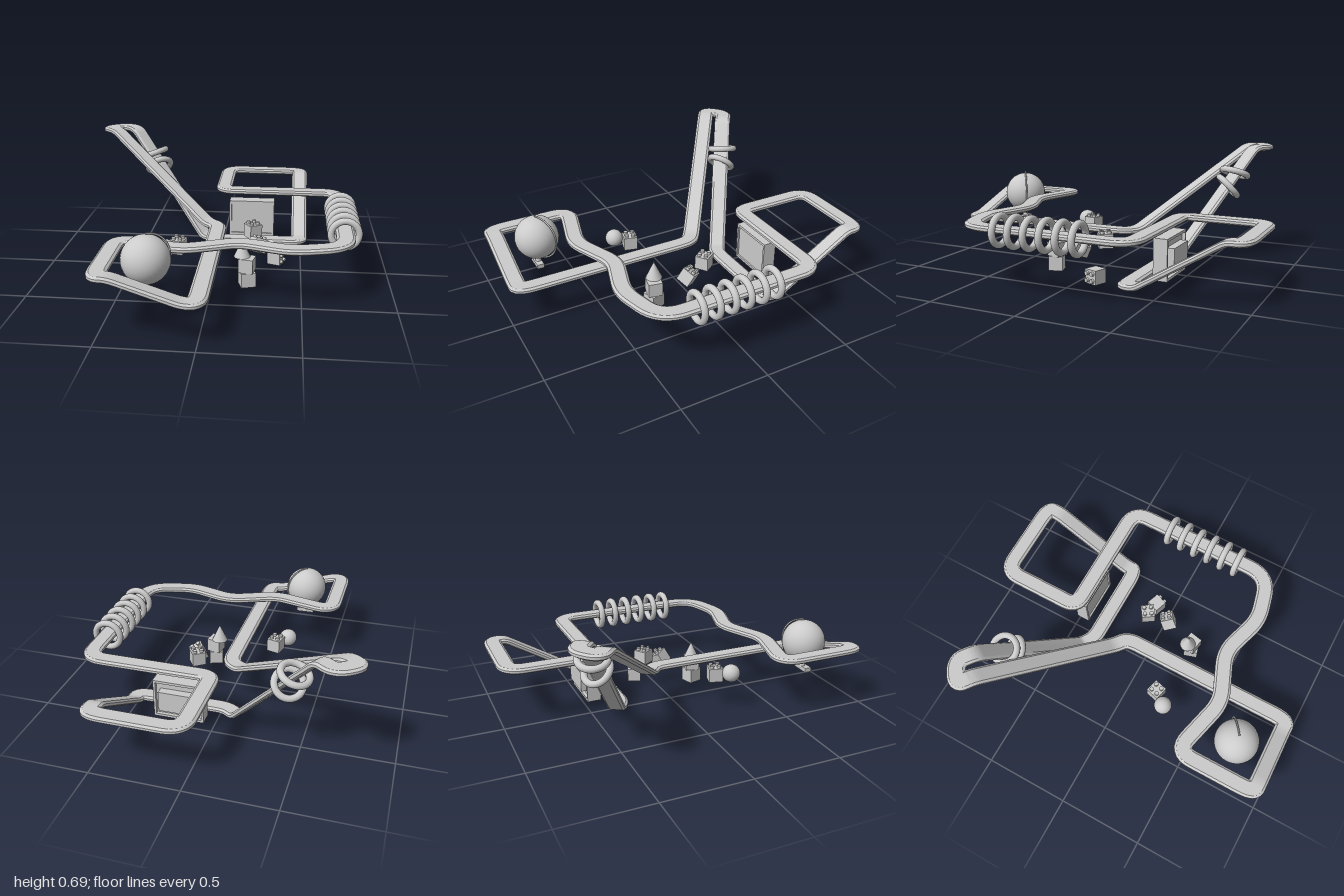
import * as THREE from 'three';
import { toCreasedNormals } from 'three/addons/utils/BufferGeometryUtils.js';

const mat = new THREE.MeshStandardMaterial({ color: 0xcccccc });
const V = (x, y, z) => new THREE.Vector3(x, y, z);

function add(parent, name, geometry, x = 0, y = 0, z = 0) {
  const mesh = new THREE.Mesh(geometry, mat);
  mesh.name = name;
  mesh.position.set(x, y, z);
  parent.add(mesh);
  return mesh;
}

// Closed polyline with every corner rounded; each entry is x, y, z, corner trim
function roundedLoop(corners, steps = 8) {
  const pts = [];
  const n = corners.length;
  const at = (i) => V(...corners[(i + n) % n].slice(0, 3));
  for (let i = 0; i < n; i++) {
    const c = at(i), trim = corners[i][3] ?? 0.07;
    const toward = (p) => {
      const d = p.clone().sub(c), len = d.length();
      return c.clone().addScaledVector(d, Math.min(trim, len * 0.45) / len);
    };
    const bend = new THREE.QuadraticBezierCurve3(toward(at(i - 1)), c, toward(at(i + 1)));
    pts.push(...bend.getPoints(steps));
  }
  return pts;
}

// Sweep a bevelled flat section round a closed path, keeping its sides level
function sweepTrack(path, w, h, bevel) {
  const b = bevel * 0.7;
  const section = [
    [w, -h + b], [w, h - b], [w - bevel, h], [-w + bevel, h],
    [-w, h - b], [-w, -h + b], [-w + bevel, -h], [w - bevel, -h],
  ];
  const n = path.length, k = section.length, pos = [], index = [];
  for (let i = 0; i < n; i++) {
    const t = path[(i + 1) % n].clone().sub(path[(i + n - 1) % n]).normalize();
    const s = t.clone().cross(V(0, 1, 0)).normalize();
    const up = s.clone().cross(t);
    for (let j = 0; j < k; j++) {
      const p = path[i].clone().addScaledVector(s, section[j][0]).addScaledVector(up, section[j][1]);
      pos.push(p.x, p.y, p.z);
      const a = i * k + j, c = i * k + (j + 1) % k;
      const d = ((i + 1) % n) * k + j, e = ((i + 1) % n) * k + (j + 1) % k;
      index.push(a, d, c, c, d, e);
    }
  }
  const g = new THREE.BufferGeometry();
  g.setAttribute('position', new THREE.Float32BufferAttribute(pos, 3));
  g.setIndex(index);
  return toCreasedNormals(g, 0.5);
}

// Toy cube with four studs on its local top
function studBlock(parent, name, position, rotation) {
  const block = new THREE.Group();
  block.name = name;
  add(block, 'blockBody', new THREE.BoxGeometry(0.08, 0.08, 0.08));
  for (const x of [-0.02, 0.02]) for (const z of [-0.02, 0.02]) {
    add(block, 'stud', new THREE.CylinderGeometry(0.012, 0.012, 0.016, 14), x, 0.047, z);
  }
  block.position.set(...position);
  block.rotation.set(...rotation);
  parent.add(block);
}

export function createModel() {
  const model = new THREE.Group();
  model.name = 'toyTrackScene';

  // Looping track
  const corners = [
    [0.725, 0.34, -0.465, 0.1],
    [0, 0.34, -0.465], [0, 0.34, -0.95, 0.09], [0.49, 0.34, -0.95, 0.09],
    [0.49, 0.34, -0.87, 0.03], [0.49, 0.055, -0.4, 0.03], [0.49, 0.055, -0.335, 0.09],
    [-0.04, 0.055, -0.335, 0.05], [-0.11, 0.055, -0.38, 0.03],
    [-0.6, 0.675, -0.7, 0.04], [-0.685, 0.675, -0.765, 0.065], [-0.79, 0.675, -0.69, 0.065],
    [-0.72, 0.675, -0.64, 0.04], [-0.07, 0.222, -0.165, 0.04], [0, 0.222, -0.11, 0.07],
    [0, 0.222, 0.94, 0.09], [-0.07, 0.222, 0.94, 0.04], [-0.42, 0.34, 0.94, 0.04],
    [-0.485, 0.34, 0.94, 0.09], [-0.485, 0.34, 0.465, 0.1],
    [-0.12, 0.34, 0.56, 0.08], [0.165, 0.34, 0.445, 0.08],
    [0.44, 0.34, 0.53, 0.08], [0.725, 0.34, 0.46, 0.13],
  ];
  add(model, 'track', sweepTrack(roundedLoop(corners), 0.05, 0.016, 0.013));

  // Row of rings threaded on the straight
  const ring = new THREE.TorusGeometry(0.076, 0.019, 14, 40);
  for (let i = 0; i < 6; i++) add(model, 'straightRing', ring, 0.725, 0.335, -0.198 + i * 0.091);

  // Two loose rings on the climb
  const loose = [
    [V(-0.475, 0.535, -0.625), V(-0.32, 0.9, -0.15)],
    [V(-0.44, 0.455, -0.595), V(-0.35, 0.65, -0.6)],
  ];
  for (const [p, axis] of loose) {
    const r = add(model, 'climbRing', ring, p.x, p.y, p.z);
    r.quaternion.setFromUnitVectors(V(0, 0, 1), axis.normalize());
  }

  // Globe with meridian arm and foot
  const globe = new THREE.Group();
  globe.name = 'globe';
  globe.position.set(-0.277, 0.35, 0.735);
  add(globe, 'globeBall', new THREE.SphereGeometry(0.126, 32, 24));
  const arm = add(globe, 'globeArm', new THREE.TorusGeometry(0.134, 0.005, 8, 32, Math.PI));
  arm.rotation.set(0, 0.61, -Math.PI / 2, 'YXZ');
  add(globe, 'globeStem', new THREE.CylinderGeometry(0.012, 0.02, 0.05, 16), 0, -0.143, 0.005);
  add(globe, 'globeFoot', new THREE.BoxGeometry(0.11, 0.026, 0.04), 0, -0.168, 0.01);
  model.add(globe);

  // Upright framed panel with a smaller rear housing
  const panel = new THREE.Group();
  panel.name = 'framedPanel';
  panel.position.set(0.185, 0.165, -0.465);
  const outline = new THREE.Shape();
  outline.moveTo(-0.143, -0.115).lineTo(0.143, -0.115).lineTo(0.143, 0.115).lineTo(-0.143, 0.115);
  const opening = new THREE.Path();
  opening.moveTo(-0.13, -0.1).lineTo(-0.13, 0.1).lineTo(0.13, 0.1).lineTo(0.13, -0.1);
  outline.holes.push(opening);
  add(panel, 'panelFrame', new THREE.ExtrudeGeometry(outline, { depth: 0.08, bevelEnabled: false }), 0, 0, -0.04);
  add(panel, 'panelFace', new THREE.BoxGeometry(0.262, 0.202, 0.05), 0, 0, 0.005);
  add(panel, 'panelHousing', new THREE.BoxGeometry(0.21, 0.12, 0.06), 0, 0, -0.035);
  model.add(panel);

  // Block tower with a cone on top
  add(model, 'towerLowerBlock', new THREE.BoxGeometry(0.084, 0.084, 0.084), 0.195, 0.042, 0.23).rotation.y = 0.3;
  add(model, 'towerUpperBlock', new THREE.BoxGeometry(0.082, 0.082, 0.082), 0.195, 0.125, 0.228).rotation.y = -0.2;
  add(model, 'towerCone', new THREE.ConeGeometry(0.047, 0.105, 28), 0.165, 0.218, 0.212);

  // Loose studded blocks and a ball
  studBlock(model, 'leftBlock', [-0.2, 0.207, 0.19], [0, -0.25, 0]);
  studBlock(model, 'upperBlock', [0.21, 0.21, -0.09], [0, 0.6, 0]);
  studBlock(model, 'tiltedBlock', [0.245, 0.165, 0.035], [-0.35, 0.6, -0.25]);
  studBlock(model, 'lyingBlock', [0.35, 0.042, -0.1], [0, -0.35, -Math.PI / 2]);
  model.getObjectByName('lyingBlock').rotation.order = 'YXZ';
  add(model, 'smallBall', new THREE.SphereGeometry(0.052, 28, 20), -0.26, 0.218, 0.265);

  return model;
}
